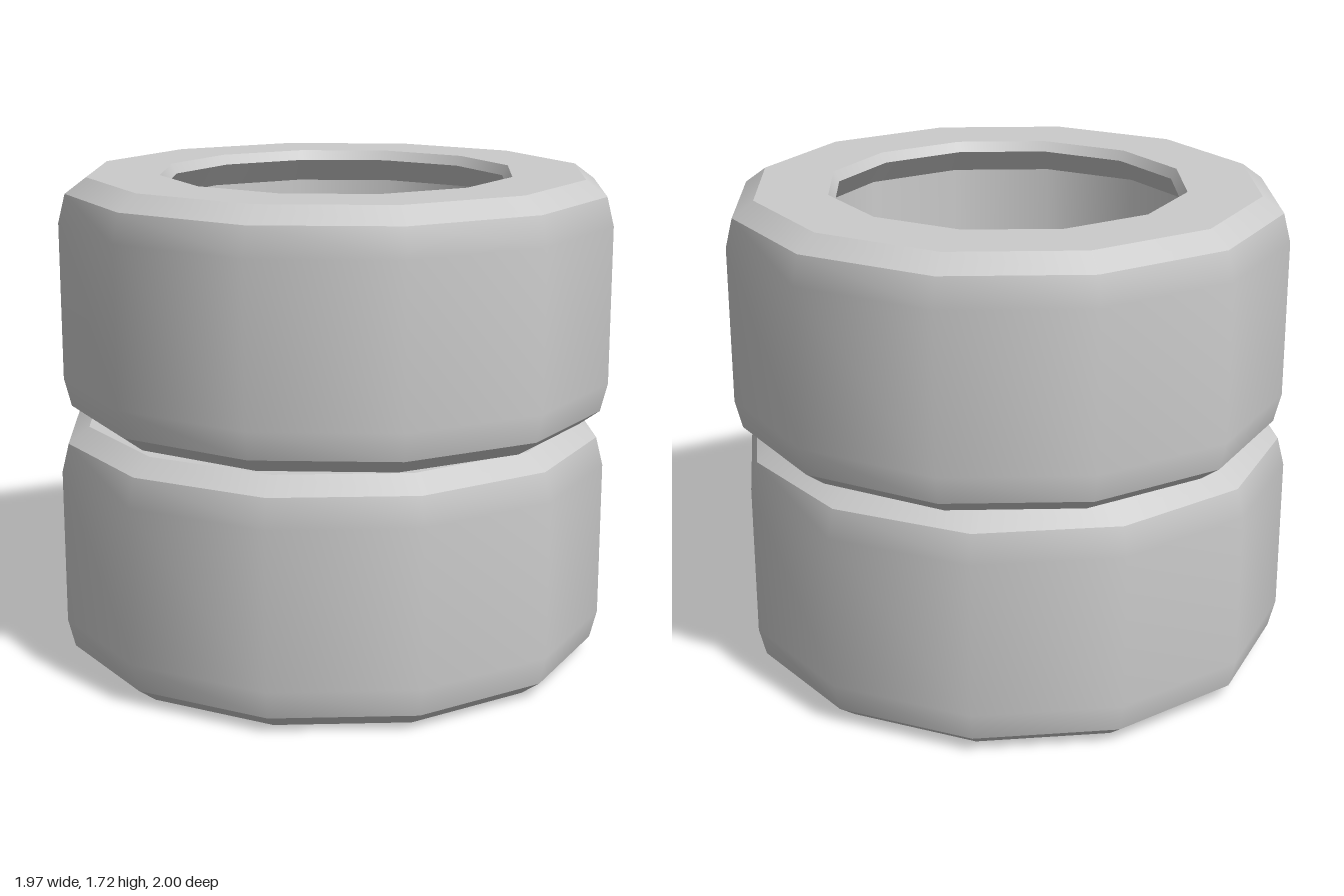
import * as THREE from 'three';

const HEIGHT = 0.86;
const SIDES = 12;

// Lower half of the ring section as [radius, height], mirrored for the upper half
const low = {
  outerFlat: [0.885, 0], shoulder: [0.96, 0.055], tread: [0.985, 0.155],
  innerFlat: [0.63, 0], lip: [0.61, 0.035], liner: [0.68, 0.12],
};
const flip = ([r, y]) => [r, HEIGHT - y];

// Each band is shaded smoothly; edges between bands stay sharp.
// Bands run up the outside and down the inside.
const bands = {
  tread: [low.shoulder, low.tread, flip(low.tread), flip(low.shoulder)],
  upperShoulder: [flip(low.shoulder), flip(low.outerFlat)],
  upperSidewall: [flip(low.outerFlat), flip(low.innerFlat)],
  upperBevel: [flip(low.innerFlat), flip(low.lip)],
  upperLip: [flip(low.lip), flip(low.liner)],
  innerWall: [flip(low.liner), low.liner],
  lowerLip: [low.liner, low.lip],
  lowerBevel: [low.lip, low.innerFlat],
  lowerSidewall: [low.innerFlat, low.outerFlat],
  lowerShoulder: [low.outerFlat, low.shoulder],
};

function createTire(name, material) {
  const tire = new THREE.Group();
  tire.name = name;
  for (const [part, profile] of Object.entries(bands)) {
    const points = profile.map(([r, y]) => new THREE.Vector2(r, y));
    const mesh = new THREE.Mesh(new THREE.LatheGeometry(points, SIDES), material);
    mesh.name = part;
    tire.add(mesh);
  }
  return tire;
}

export function createModel() {
  const model = new THREE.Group();
  model.name = 'tireStack';
  const material = new THREE.MeshStandardMaterial({ color: 0xcccccc });

  const lower = createTire('lowerTire', material);
  lower.position.z = 0.015;

  // Upper tire sits slightly back and turned
  const upper = createTire('upperTire', material);
  upper.position.set(0, HEIGHT, -0.019);
  upper.rotation.y = THREE.MathUtils.degToRad(-5);

  model.add(lower, upper);
  return model;
}
